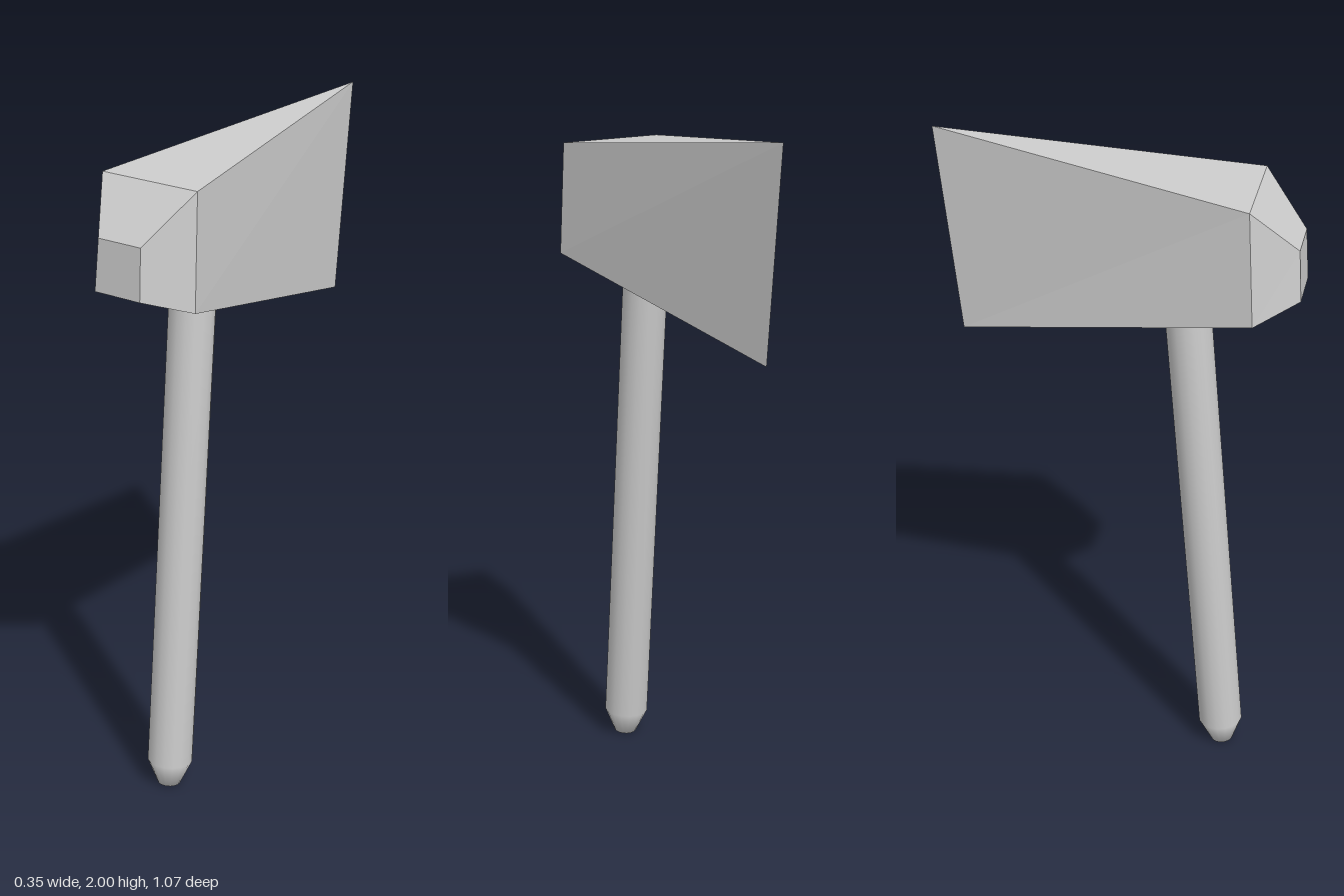
import * as THREE from 'three';

// Four-cornered sections from the poll to the cutting edge,
// each listed as top right, bottom right, bottom left, top left.
const SECTIONS = [
  [[-0.07, 1.765, 0.525], [-0.078, 1.615, 0.535], [0.078, 1.615, 0.535], [0.076, 1.765, 0.525]],
  [[-0.16, 1.905, 0.395], [-0.174, 1.57, 0.415], [0.172, 1.57, 0.415], [0.167, 1.905, 0.395]],
  [[0.033, 2, -0.535], [0.03, 1.375, -0.465], [0.03, 1.375, -0.465], [0.033, 2, -0.535]],
];

// Joins the sections into a flat-faced solid with a closed front.
function loftHead(sections) {
  const positions = [];
  const triangle = (a, b, c) => {
    const [p, q, r] = [a, b, c].map((v) => new THREE.Vector3(...v));
    const area = q.clone().sub(p).cross(r.clone().sub(p)).length();
    if (area > 1e-8) positions.push(...a, ...b, ...c);
  };
  const quad = (a, b, c, d) => {
    triangle(a, b, c);
    triangle(a, c, d);
  };
  quad(...sections[0]);
  for (let i = 0; i < sections.length - 1; i++) {
    const front = sections[i];
    const back = sections[i + 1];
    for (let j = 0; j < 4; j++) {
      const k = (j + 1) % 4;
      quad(front[j], back[j], back[k], front[k]);
    }
  }
  const geometry = new THREE.BufferGeometry();
  geometry.setAttribute('position', new THREE.Float32BufferAttribute(positions, 3));
  geometry.computeVertexNormals();
  return geometry;
}

export function createModel() {
  const model = new THREE.Group();
  model.name = 'axe';
  const grey = new THREE.MeshStandardMaterial({ color: 0xcccccc });
  grey.name = 'light grey';

  // Wedge head with a bevelled poll
  const head = new THREE.Mesh(loftHead(SECTIONS), grey);
  head.name = 'axeHead';
  model.add(head);

  // Round handle with a tapered butt, leaning back into the head
  const profile = [[0, 0], [0.034, 0], [0.068, 0.078], [0.068, 1.6]];
  const handle = new THREE.Mesh(
    new THREE.LatheGeometry(profile.map(([r, y]) => new THREE.Vector2(r, y)), 16),
    grey,
  );
  handle.name = 'handle';
  handle.position.set(0, 0.004, 0.343);
  handle.rotation.x = -0.09;
  model.add(handle);

  return model;
}
